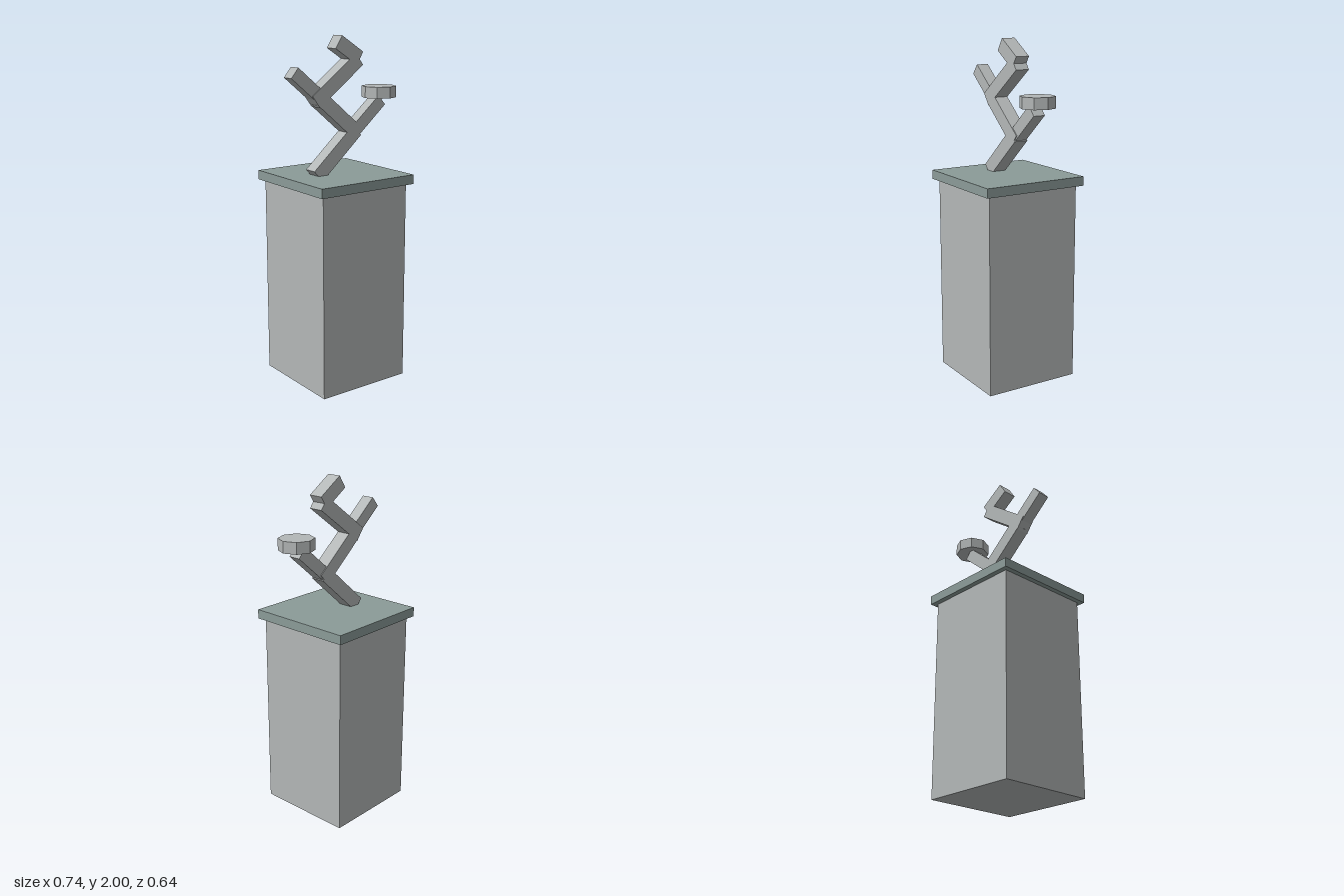
import * as THREE from 'three';

export function createModel() {
  const model = new THREE.Group();
  const stone = new THREE.MeshStandardMaterial({ color: 0xb3b7b7 });
  stone.name = 'paleGrey';
  const slate = new THREE.MeshStandardMaterial({ color: 0x8b9b98 });
  slate.name = 'greyGreen';

  function add(name, geometry, material, x, y, z = 0) {
    const mesh = new THREE.Mesh(geometry, material);
    mesh.name = name;
    mesh.position.set(x, y, z);
    model.add(mesh);
    return mesh;
  }

  // Square bar running between two points of the x-y plane
  function bar(name, [x1, y1], [x2, y2], width, depth) {
    const length = Math.hypot(x2 - x1, y2 - y1);
    const mesh = add(name, new THREE.BoxGeometry(length, width, depth), stone,
      (x1 + x2) / 2, (y1 + y2) / 2);
    mesh.rotation.z = Math.atan2(y2 - y1, x2 - x1);
  }

  // Pedestal and overhanging cap
  add('pedestal', new THREE.BoxGeometry(0.58, 1.17, 0.58), stone, -0.052, 0.585);
  add('pedestalCap', new THREE.BoxGeometry(0.64, 0.054, 0.64), slate, -0.051, 1.197);

  // Abstract figure: thick limbs
  const thick = 0.084;
  bar('lowerLimb', [-0.196, 1.223], [0.077, 1.464], thick, thick);
  bar('trunk', [0.093, 1.436], [-0.167, 1.655], thick, thick);
  bar('upperLimb', [-0.207, 1.642], [0.092, 1.866], thick, thick);
  bar('topLimb', [-0.053, 1.965], [0.095, 1.87], thick, thick);

  // Thin limbs continuing past the joints
  const thin = 0.073;
  bar('discSupport', [0.077, 1.464], [0.262, 1.623], thin, thin);
  bar('rearLimb', [-0.178, 1.671], [-0.344, 1.809], thin, thin);

  // Eight-sided disc
  const disc = new THREE.CylinderGeometry(0.101, 0.101, 0.066, 8).toNonIndexed();
  disc.computeVertexNormals();
  add('disc', disc, stone, 0.268, 1.669);

  return model;
}
